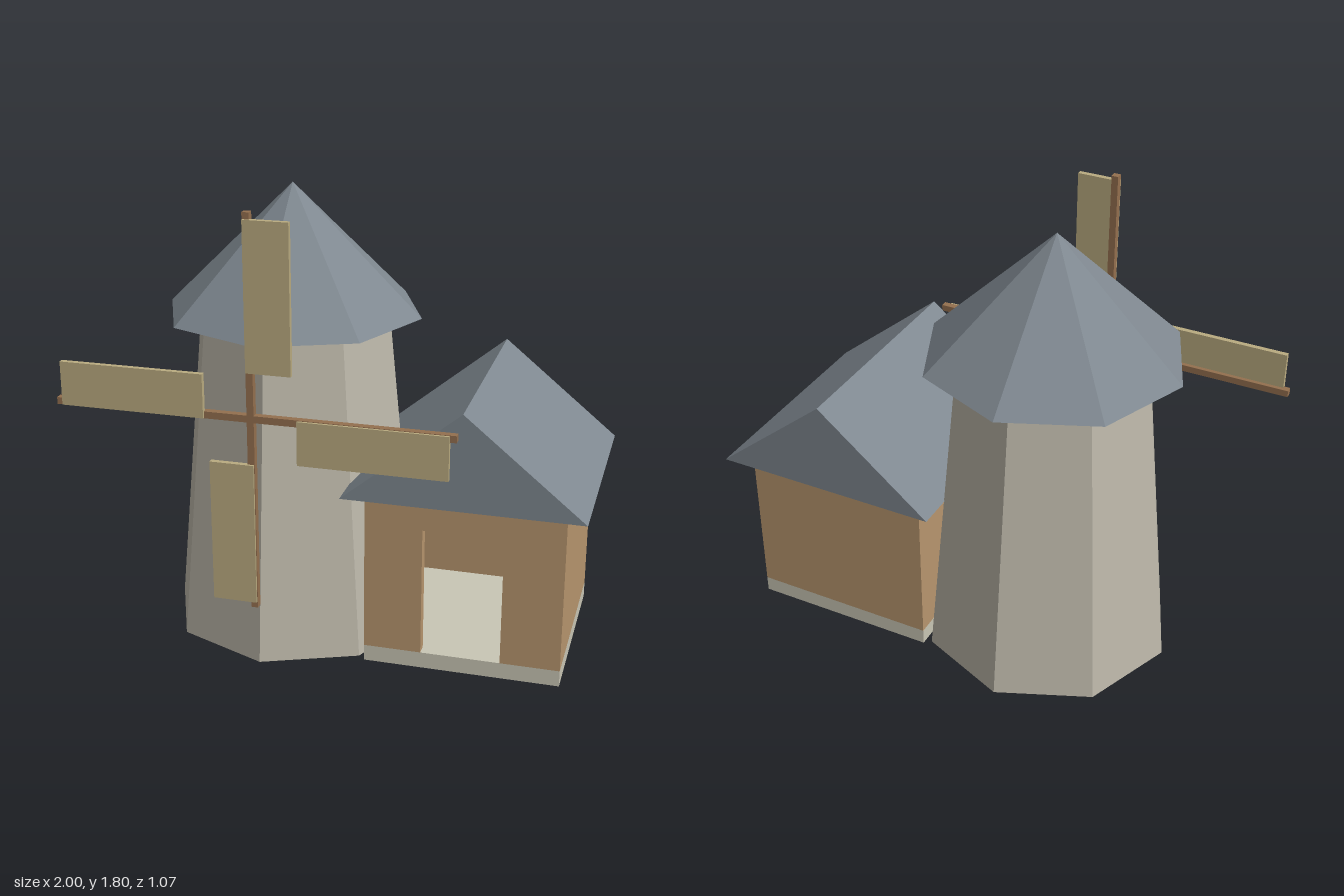
import * as THREE from 'three';

const mat = (color) => new THREE.MeshStandardMaterial({ color, flatShading: true });

export function createModel() {
  const root = new THREE.Group();
  root.name = 'windmill';
  const stone = mat(0xbdb8aa), slate = mat(0x7f8890), plaster = mat(0xb8966e);
  const plinth = mat(0xc9c6b5), wood = mat(0x94704f), cloth = mat(0xbaab80);

  const add = (parent, name, geometry, material, x = 0, y = 0, z = 0) => {
    const mesh = new THREE.Mesh(geometry, material);
    mesh.name = name;
    mesh.position.set(x, y, z);
    parent.add(mesh);
    return mesh;
  };
  // Box given by its min and max on each axis
  const addBox = (parent, name, material, [x0, x1], [y0, y1], [z0, z1]) =>
    add(parent, name, new THREE.BoxGeometry(x1 - x0, y1 - y0, z1 - z0), material,
      (x0 + x1) / 2, (y0 + y1) / 2, (z0 + z1) / 2);

  // Eight-sided tapering tower with a pointed roof
  const towerX = -0.233, midZ = -0.025, eaves = 1.29;
  add(root, 'tower', new THREE.CylinderGeometry(0.387, 0.512, eaves, 8), stone, towerX, eaves / 2, midZ);
  add(root, 'towerRoof', new THREE.ConeGeometry(0.512, 0.503, 8), slate, towerX, eaves + 0.2515, midZ);

  // Hollow annex with an open doorway
  const house = new THREE.Group();
  house.name = 'house';
  root.add(house);
  const x0 = 0.155, x1 = 0.92, z0 = -0.409, z1 = 0.361, base = 0.065, top = 0.71, t = 0.045;
  addBox(house, 'plinth', plinth, [x0, x1], [0, base], [z0, z1]);
  addBox(house, 'leftWall', plaster, [x1 - t, x1], [base, top], [z0 + t, z1 - t]);
  addBox(house, 'rightWall', plaster, [x0, x0 + t], [base, top], [z0 + t, z1 - t]);
  addBox(house, 'backWall', plaster, [x0, x1], [base, top], [z0, z0 + t]);

  // Front wall outline notched by the door
  const front = new THREE.Shape([
    [x0, base], [0.38, base], [0.38, 0.583], [0.69, 0.583],
    [0.69, base], [x1, base], [x1, top], [x0, top],
  ].map(([x, y]) => new THREE.Vector2(x, y)));
  add(house, 'frontWall', new THREE.ExtrudeGeometry(front, { depth: t, bevelEnabled: false }),
    plaster, 0, 0, z1 - t);

  // Gabled roof prism
  const gable = new THREE.Shape([
    [0.077, top], [1.0, top], [0.537, 1.09],
  ].map(([x, y]) => new THREE.Vector2(x, y)));
  add(house, 'houseRoof', new THREE.ExtrudeGeometry(gable, { depth: 0.924, bevelEnabled: false }),
    slate, 0, 0, -0.487);

  // Crossed spars with four sails, each a quarter turn apart
  const sails = new THREE.Group();
  sails.name = 'sails';
  sails.position.set(towerX, 1.028, 0);
  root.add(sails);
  const spar = 0.767, h = 0.0135;
  addBox(sails, 'verticalSpar', wood, [-h, h], [-spar, spar], [0.5, 0.528]);
  addBox(sails, 'horizontalSpar', wood, [-spar, spar], [-h, h], [0.5, 0.528]);
  for (let i = 0; i < 4; i++) {
    const arm = new THREE.Group();
    arm.name = 'sailArm';
    arm.rotation.z = i * Math.PI / 2;
    sails.add(arm);
    addBox(arm, 'sail', cloth, [-0.011, 0.16], [0.179, 0.742], [0.517, 0.5375]);
  }
  return root;
}
